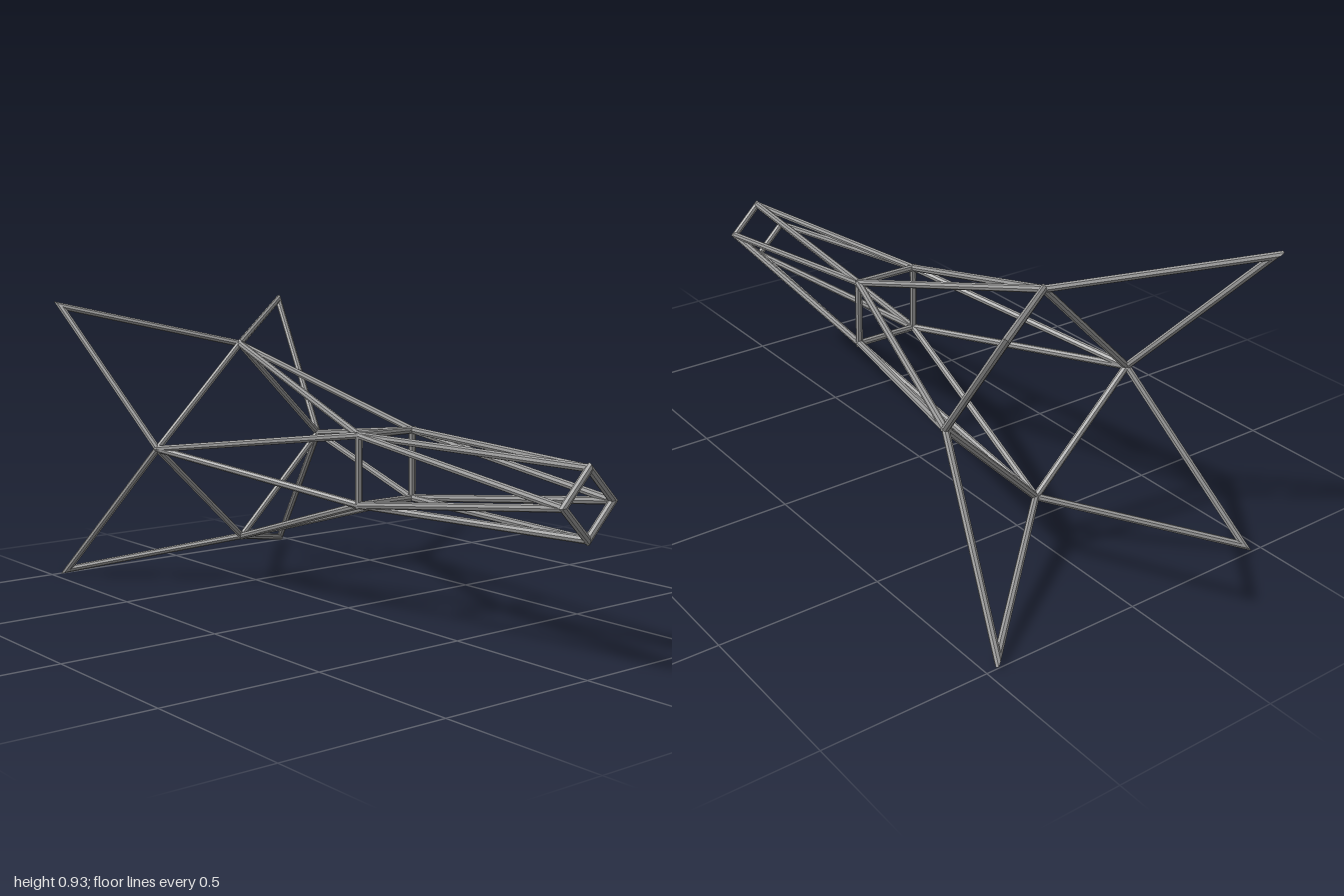
import * as THREE from 'three';

const RADIUS = 0.0112;
const SIDES = 8;
const CENTRE_Y = 0.466;

// Round bar from a to b; an end with a mitre normal is cut along that plane
function bar(a, b, mitreA, mitreB, material) {
  const axis = b.clone().sub(a);
  const length = axis.length();
  axis.normalize();
  const geometry = new THREE.CylinderGeometry(RADIUS, RADIUS, length, SIDES);
  geometry.applyQuaternion(new THREE.Quaternion().setFromUnitVectors(new THREE.Vector3(0, 1, 0), axis));
  const middle = a.clone().add(b).multiplyScalar(0.5);
  geometry.translate(middle.x, middle.y, middle.z);
  const position = geometry.attributes.position;
  const p = new THREE.Vector3();
  for (let i = 0; i < position.count; i++) {
    p.fromBufferAttribute(position, i);
    const atStart = p.clone().sub(middle).dot(axis) < 0;
    const node = atStart ? a : b;
    const normal = atStart ? mitreA : mitreB;
    if (!normal) continue;
    p.addScaledVector(axis, node.clone().sub(p).dot(normal) / axis.dot(normal));
    position.setXYZ(i, p.x, p.y, p.z);
  }
  geometry.computeVertexNormals();
  return new THREE.Mesh(geometry, material);
}

// Closed ring of bars through the given nodes
function loop(name, nodes, mitred, material) {
  const group = new THREE.Group();
  group.name = name;
  const n = nodes.length;
  const normals = nodes.map((_, i) =>
    mitred ? nodes[(i + 1) % n].clone().sub(nodes[(i + n - 1) % n]).normalize() : null);
  nodes.forEach((node, i) => {
    const j = (i + 1) % n;
    const mesh = bar(node, nodes[j], normals[i], normals[j], material);
    mesh.name = name + 'Bar';
    group.add(mesh);
  });
  return group;
}

// Four nodes around the z axis, starting at the given angle
function ring(radius, z, startAngle) {
  return [0, 1, 2, 3].map((i) => {
    const t = startAngle + (i * Math.PI) / 2;
    return new THREE.Vector3(radius * Math.cos(t), CENTRE_Y + radius * Math.sin(t), z);
  });
}

// Alternates the nodes of two rings into a zigzag
const zigzag = (p, q) => p.flatMap((node, i) => [node, q[i]]);

export function createModel() {
  const model = new THREE.Group();
  model.name = 'tubeFrame';
  const steel = new THREE.MeshStandardMaterial({ color: 0x999999, flatShading: true });
  steel.name = 'greySteel';

  const nose = ring(0.094, 0.989, 0);
  const waist = ring(0.104 * Math.SQRT2, 0.18, Math.PI / 4);
  const shoulder = ring(0.327, -0.58, 0);
  const tips = ring(0.45 * Math.SQRT2, -0.979, Math.PI / 4);

  model.add(
    loop('noseDiamond', nose, true, steel),
    loop('noseStruts', zigzag(nose, waist), false, steel),
    loop('waistSquare', waist, true, steel),
    loop('bodyStruts', zigzag(shoulder, waist), false, steel),
    loop('shoulderDiamond', shoulder, true, steel),
    loop('tailPoints', zigzag(shoulder, tips), true, steel),
  );
  return model;
}
